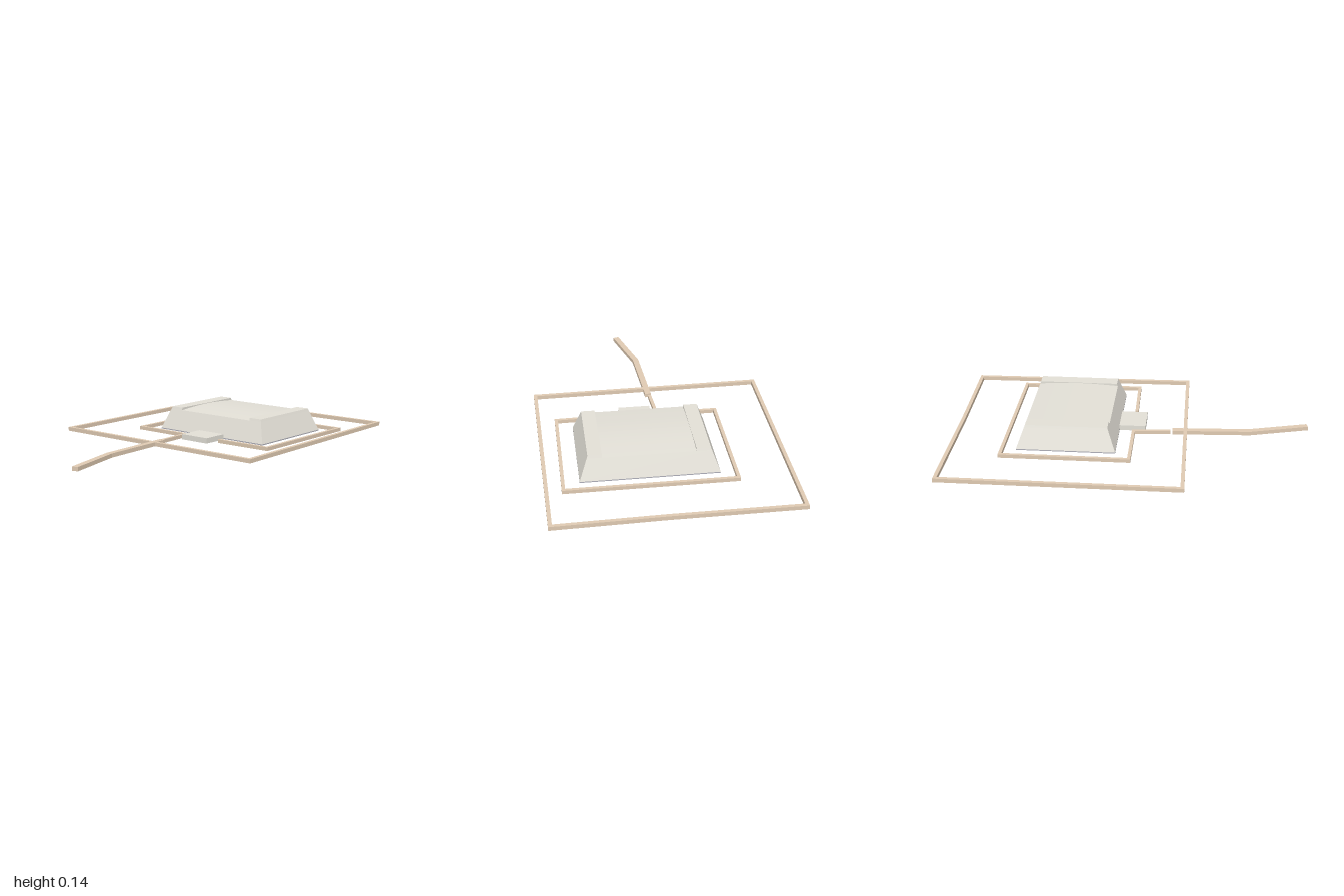
import * as THREE from 'three';

const makeMaterial = (name, color, side = THREE.FrontSide) => {
  const m = new THREE.MeshStandardMaterial({ color, side });
  m.name = name;
  return m;
};
const stone = makeMaterial('pale stone', 0xe3e0d7, THREE.DoubleSide);
const earth = makeMaterial('sandy earth', 0xe0cbb3, THREE.DoubleSide);
const footing = makeMaterial('grey footing', 0xb0b0ba);

// Outline of the sloping mound at height y
const TOP = 0.135;
const outline = (y) => {
  const t = y / TOP;
  const mix = (a, b) => a + (b - a) * t;
  return { x0: mix(-0.28, -0.233), x1: mix(0.457, 0.41), z0: mix(-0.615, -0.568), z1: mix(-0.068, -0.114) };
};

// Box whose lower and upper rectangles differ
function loft(y0, a, y1, b) {
  const g = new THREE.BoxGeometry(1, 1, 1);
  const p = g.attributes.position;
  for (let i = 0; i < p.count; i++) {
    const up = p.getY(i) > 0;
    const r = up ? b : a;
    p.setXYZ(i, p.getX(i) < 0 ? r.x0 : r.x1, up ? y1 : y0, p.getZ(i) < 0 ? r.z0 : r.z1);
  }
  g.computeVertexNormals();
  return g;
}

// Mitred side line of a polyline of [x, z] points
function offsetLine(pts, d, closed) {
  const n = pts.length;
  const v = pts.map(([x, z]) => new THREE.Vector2(x, -z));
  const normal = (i, j) => {
    const t = v[j].clone().sub(v[i]).normalize();
    return new THREE.Vector2(-t.y, t.x);
  };
  return v.map((p, i) => {
    const before = closed || i > 0 ? normal((i + n - 1) % n, i) : normal(i, i + 1);
    const after = closed || i < n - 1 ? normal(i, (i + 1) % n) : before;
    const m = before.clone().add(after).normalize();
    return p.clone().addScaledVector(m, d / m.dot(after));
  });
}

// Low bank of constant width following a polyline, open underneath.
// Closed polylines run counter-clockwise as seen from above.
function bank(pts, width, height, closed = false) {
  const inner = offsetLine(pts, width / 2, closed);
  const outer = offsetLine(pts, -width / 2, closed);
  inner.reverse();
  const shape = new THREE.Shape(closed ? outer : [...outer, ...inner]);
  if (closed) shape.holes.push(new THREE.Path(inner));
  const solid = new THREE.ExtrudeGeometry(shape, { depth: height, bevelEnabled: false });
  solid.rotateX(-Math.PI / 2);

  // The underside is the first half of the cap faces: leave it out
  const skip = solid.groups[0].count / 2;
  const g = new THREE.BufferGeometry();
  for (const key of ['position', 'normal']) {
    g.setAttribute(key, new THREE.BufferAttribute(solid.attributes[key].array.slice(skip * 3), 3));
  }
  return g;
}

export function createModel() {
  const model = new THREE.Group();
  const add = (name, geometry, material) => {
    const mesh = new THREE.Mesh(geometry, material);
    mesh.name = name;
    model.add(mesh);
  };

  // Sloping mound on a thin footing
  const base = outline(0), eave = 0.121;
  const low = outline(eave), high = outline(TOP);
  add('footing', loft(0.003, base, 0.009, base), [footing, footing, stone, stone, footing, footing]);
  add('mound', loft(0.009, base, eave, low), stone);

  // Raised strips along both ends of the roof
  const inL = -0.157, inR = 0.335;
  add('rightRoofStrip', loft(eave, { ...low, x1: inL }, TOP, { ...high, x1: inL }), stone);
  add('leftRoofStrip', loft(eave, { ...low, x0: inR }, TOP, { ...high, x0: inR }), stone);

  // Gently arched roof between the strips
  const arch = [];
  for (let i = 0; i <= 16; i++) {
    const t = i / 16;
    arch.push(new THREE.Vector2(-(low.z0 + (low.z1 - low.z0) * t), eave + 0.011 * Math.sin(Math.PI * t)));
  }
  const roof = new THREE.ExtrudeGeometry(new THREE.Shape(arch), { depth: inR - inL, bevelEnabled: false });
  roof.rotateY(Math.PI / 2);
  roof.translate(inL, 0, 0);
  add('archedRoof', roof, stone);

  // Hollow entrance slab at the front
  add('entranceSlab', bank([[0.097, -0.07], [0.097, 0.079]], 0.178, 0.03), stone);

  // Outer enclosure
  add('outerBank', bank([[-0.648, 0.313], [0.65, 0.297], [0.626, -0.988], [0.05, -0.977], [-0.648, -0.977]], 0.02, 0.022, true), earth);

  // Inner enclosure with its gap at the entrance
  add('innerBank', bank([[0.22, 0.014], [0.544, 0.007], [0.544, -0.69], [-0.361, -0.69], [-0.361, 0.013], [-0.026, 0.013], [-0.012, 0.222]], 0.018, 0.02), earth);

  // Causeway leading forward
  add('causeway', bank([[-0.005, 0.232], [0.018, 0.667], [0.107, 0.995]], 0.034, 0.022), earth);

  return model;
}
